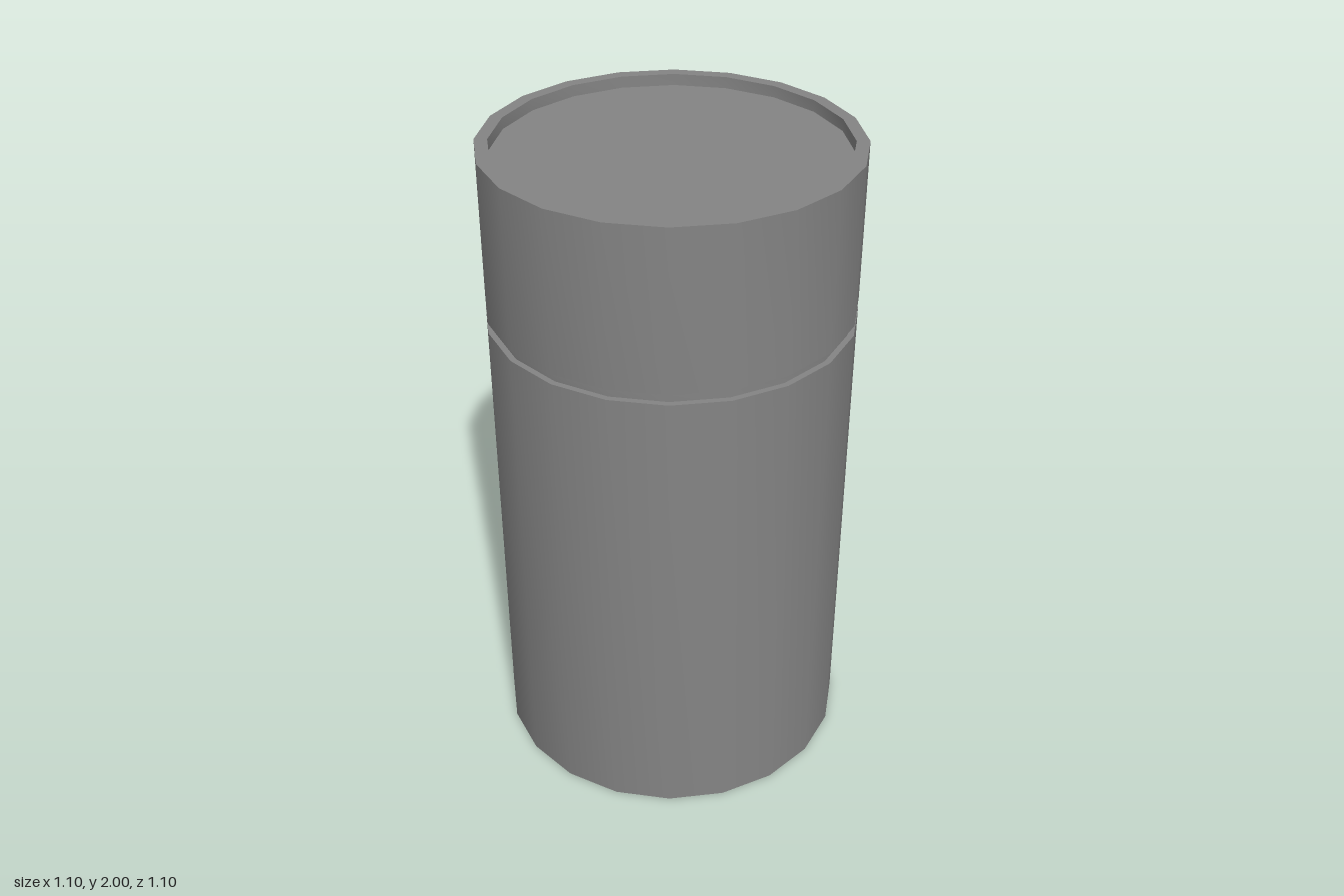
import * as THREE from 'three';
import { toCreasedNormals } from 'three/addons/utils/BufferGeometryUtils.js';

const SIDES = 20;
const R = 0.548;        // outer wall
const RIM = 0.51;       // inside of the end rims
const NECK = 0.53;      // groove between body and lid
const RECESS = 0.035;   // depth of the sunken end discs
const GROOVE = [1.48, 1.512]; // bottom and top of the groove

const material = new THREE.MeshStandardMaterial({ color: 0x848484 });

// Turns a profile (radius, height) running from bottom to top
function turned(name, profile) {
  const points = profile.map(([r, y]) => new THREE.Vector2(r, y));
  const geometry = toCreasedNormals(new THREE.LatheGeometry(points, SIDES), Math.PI / 5);
  const mesh = new THREE.Mesh(geometry, material);
  mesh.name = name;
  return mesh;
}

export function createModel() {
  const group = new THREE.Group();
  group.name = 'canister';

  // Body with a sunken base and a narrow neck on top
  group.add(turned('body', [
    [0, RECESS], [RIM, RECESS], [RIM, 0], [R, 0],
    [R, GROOVE[0]], [NECK, GROOVE[0]], [NECK, GROOVE[1]],
  ]));

  // Lid with a raised rim around a sunken top
  group.add(turned('lid', [
    [NECK, GROOVE[1]], [R, GROOVE[1]], [R, 2], [RIM, 2],
    [RIM, 2 - RECESS], [0, 2 - RECESS],
  ]));

  return group;
}
